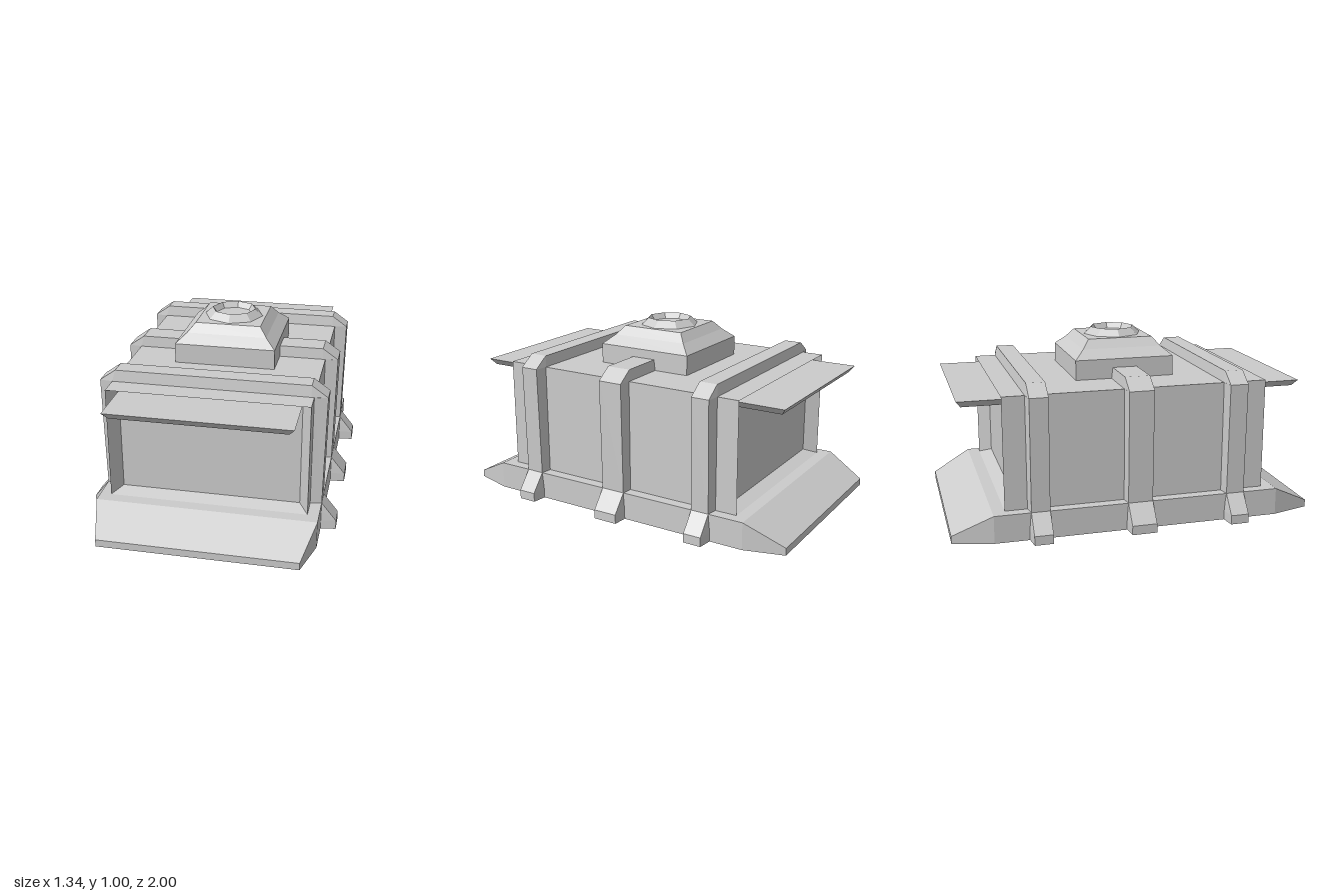
import * as THREE from 'three';

const material = new THREE.MeshStandardMaterial({
  color: 0xcccccc, flatShading: true, side: THREE.DoubleSide,
});

// Skin a surface across rings of [x, y, z] points; optionally close and cap it.
function loft(name, rings, closed = true, cap = false) {
  const pos = [];
  const tri = (a, b, c) => pos.push(...a, ...b, ...c);
  for (let i = 0; i + 1 < rings.length; i++) {
    const r = rings[i], s = rings[i + 1], n = r.length;
    for (let j = 0; j < (closed ? n : n - 1); j++) {
      const k = (j + 1) % n;
      tri(r[j], r[k], s[k]);
      tri(r[j], s[k], s[j]);
    }
  }
  if (cap) {
    const r = rings[rings.length - 1];
    for (let j = 1; j + 1 < r.length; j++) tri(r[0], r[j], r[j + 1]);
  }
  const geo = new THREE.BufferGeometry();
  geo.setAttribute('position', new THREE.Float32BufferAttribute(pos, 3));
  geo.computeVertexNormals();
  const mesh = new THREE.Mesh(geo, material);
  mesh.name = name;
  return mesh;
}

// Upright rectangle at depth z, counter-clockwise from the front
const rect = (x, y0, y1, z) => [[x, y0, z], [x, y1, z], [-x, y1, z], [-x, y0, z]];

// Octagonal base outline: end corners (ex, ey, ez) and side corners (sx, sy, sz)
const outline = (ex, ey, ez, sx, sy, sz) => [
  [ex, ey, ez], [sx, sy, sz], [sx, sy, -sz], [ex, ey, -ez],
  [-ex, ey, -ez], [-sx, sy, -sz], [-sx, sy, sz], [-ex, ey, ez],
];

// Arch-shaped rib with feet, wrapped over walls and roof
function rib(z, inHalf, outHalf) {
  const mirrored = (half) => [...half, ...half.map(([x, y]) => [-x, y]).reverse()];
  const outer = mirrored([[0.67, 0], [0.67, 0.05], [0.59, 0.15], [0.6, 0.76], [0.515, 0.82]]);
  const inner = mirrored([[0.59, 0], [0.59, 0.05], [0.53, 0.15], [0.53, 0.76], [0.515, 0.76]]);
  const at = (pts, dz) => pts.map(([x, y]) => [x, y, z + dz]);
  return loft('rib', [at(inner, -inHalf), at(outer, -outHalf), at(outer, outHalf), at(inner, inHalf)], false);
}

function turned(name, profile, sides) {
  const geo = new THREE.LatheGeometry(profile.map(([r, y]) => new THREE.Vector2(r, y)), sides);
  const mesh = new THREE.Mesh(geo, material);
  mesh.name = name;
  return mesh;
}

export function createModel() {
  const group = new THREE.Group();

  // Hollow base with end ramps and a ledge around the walls
  group.add(loft('base', [
    outline(0.53, 0, 1, 0.59, 0, 0.785),
    outline(0.53, 0.04, 1, 0.59, 0.15, 0.785),
    outline(0.59, 0.15, 0.785, 0.59, 0.15, 0.785),
    outline(0.53, 0.15, 0.72, 0.53, 0.15, 0.72),
  ]));

  // Side walls and roof
  group.add(loft('wallsAndRoof', [rect(0.53, 0.15, 0.76, -0.72), rect(0.53, 0.15, 0.76, 0.72)], false));

  // Recessed end wall and awning at each end
  for (const turn of [0, Math.PI]) {
    const end = new THREE.Group();
    end.name = 'end';
    end.rotation.y = turn;
    end.add(loft('recessedWall', [rect(0.53, 0.15, 0.76, 0.72), rect(0.48, 0.175, 0.735, 0.65)], true, true));
    const awning = (zTop, zLow) => [[0.45, 0.7, zLow], [0.478, 0.735, zTop], [-0.478, 0.735, zTop], [-0.45, 0.7, zLow]];
    end.add(loft('awning', [awning(0.65, 0.65), awning(0.94, 0.915)], true, true));
    group.add(end);
  }

  // Three ribs, the middle one wider
  group.add(rib(-0.54, 0.06, 0.05), rib(0, 0.075, 0.068), rib(0.54, 0.06, 0.05));

  // Square stepped roof turret
  const d = Math.SQRT2;
  const turret = turned('turret', [[0.275 * d, 0.76], [0.275 * d, 0.868], [0.22 * d, 0.917], [0.18 * d, 0.965], [0, 0.965]], 4);
  turret.rotation.y = Math.PI / 4;
  group.add(turret);

  // Octagonal cap with a shallow bowl
  group.add(turned('turretCap', [[0.163, 0.965], [0.122, 1.003], [0.1, 0.972], [0, 0.972]], 8));

  return group;
}
